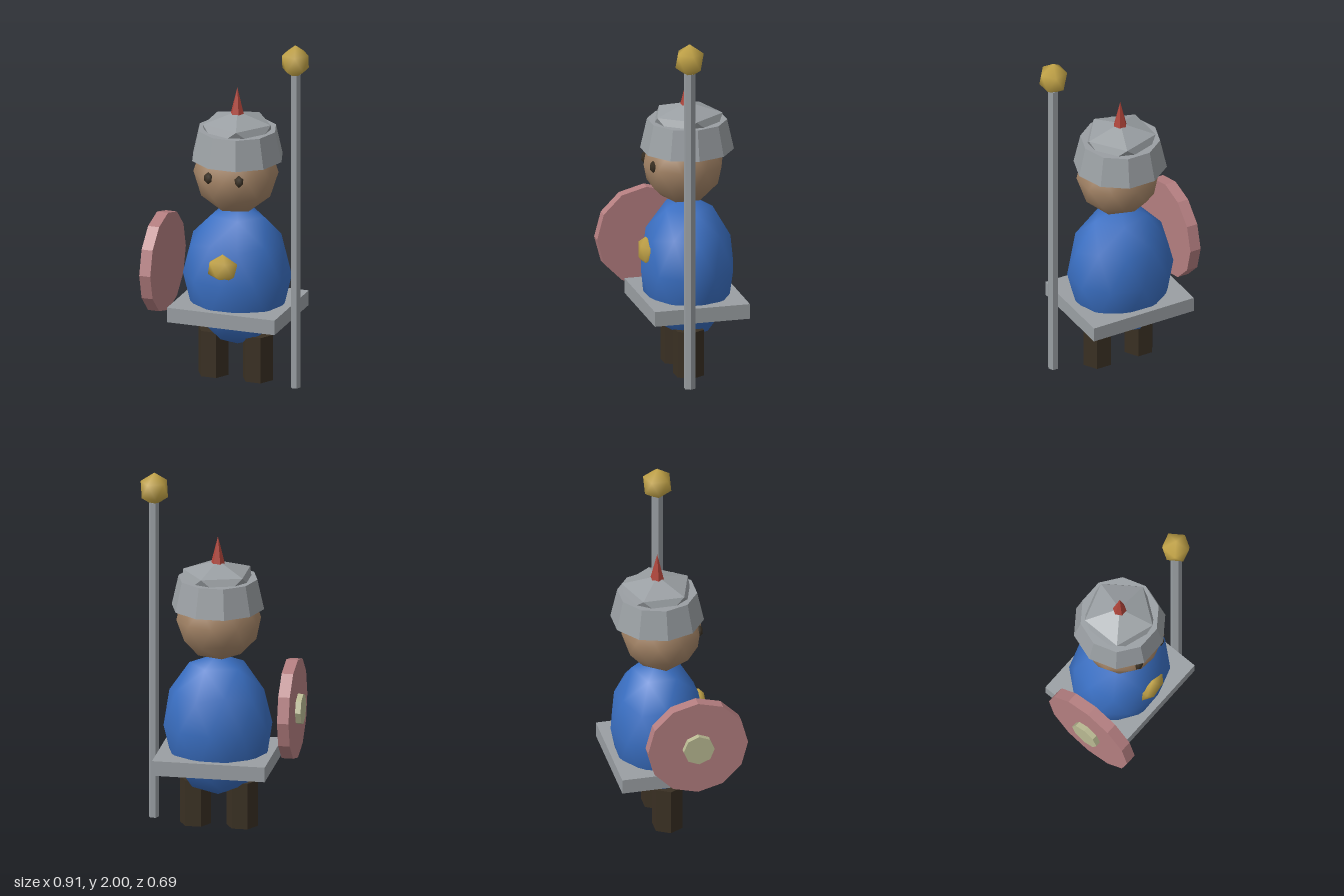
import * as THREE from 'three';

const mat = (name, color) => {
  const m = new THREE.MeshStandardMaterial({ color });
  m.name = name;
  return m;
};

// Unit icosphere with a pole up and an upper-ring corner towards +x, then stretched
function ico(rx, ry, rz, detail, smooth = true) {
  const g = new THREE.IcosahedronGeometry(1, detail);
  g.rotateX(-Math.atan((1 + Math.sqrt(5)) / 2));
  g.rotateY(Math.PI / 2);
  if (smooth) g.setAttribute('normal', g.attributes.position.clone());
  g.scale(rx, ry, rz);
  if (!smooth) g.computeVertexNormals();
  return g;
}

// Flat-shaded prism or frustum with a corner towards +x
function prism(rTop, rBottom, height, sides) {
  const g = new THREE.CylinderGeometry(rTop, rBottom, height, sides, 1, false, Math.PI / 2).toNonIndexed();
  g.computeVertexNormals();
  return g;
}

export function createModel() {
  const steel = mat('steel', 0x9a9fa3);
  const blue = mat('blue tunic', 0x3a6fc2);
  const skin = mat('skin', 0xa68668);
  const dark = mat('dark brown', 0x3a3023);
  const gold = mat('gold', 0xc4a548);
  const red = mat('red', 0xb0443a);
  const pink = mat('dusty pink', 0xb47e80);
  const pale = mat('pale olive', 0xb9b992);

  const model = new THREE.Group();
  model.name = 'guard';
  const add = (name, geometry, material, x, y, z) => {
    const m = new THREE.Mesh(geometry, material);
    m.name = name;
    m.position.set(x, y, z);
    model.add(m);
    return m;
  };
  const zMid = -0.073;

  // Body, belt and chest emblem
  add('body', ico(0.306, 0.41, 0.265, 1), blue, 0, 0.59, zMid);
  add('belt', new THREE.BoxGeometry(0.634, 0.085, 0.545), steel, 0.003, 0.3975, zMid);
  add('emblem', ico(0.096, 0.085, 0.042, 0), gold, 0, 0.692, 0.163);

  // Head
  add('head', ico(0.237, 0.235, 0.226, 1), skin, 0, 1.195, -0.05);

  // Legs and eyes, mirrored
  for (const [side, s] of [['left', 1], ['right', -1]]) {
    add(side + 'Leg', prism(0.088, 0.088, 0.265, 6), dark, s * 0.131, 0.1325, -0.046);
    add(side + 'Eye', ico(0.029, 0.036, 0.02, 0), dark, s * 0.09, 1.208, 0.146);
  }

  // Helmet: flared brim, flattened dome and spike
  add('helmetBrim', prism(0.222, 0.26, 0.17, 10), steel, 0, 1.357, zMid);
  add('helmetDome', ico(0.221, 0.108, 0.221, 0, false), steel, 0, 1.432, zMid);
  add('helmetSpike', prism(0, 0.039, 0.155, 6), red, 0, 1.6025, zMid);

  // Staff with round finial
  add('staff', prism(0.029, 0.029, 1.83, 6).scale(1, 1, 1.15), steel, 0.377, 0.915, 0.016);
  add('staffFinial', ico(0.086, 0.096, 0.088, 0), gold, 0.375, 1.904, 0.016);

  // Shield on the right side, boss facing outwards
  add('shield', prism(0.284, 0.284, 0.065, 12).rotateZ(Math.PI / 2), pink, -0.3925, 0.66, 0.059);
  add('shieldBoss', prism(0.088, 0.088, 0.04, 8).rotateZ(Math.PI / 2), pale, -0.436, 0.66, 0.058);

  return model;
}
